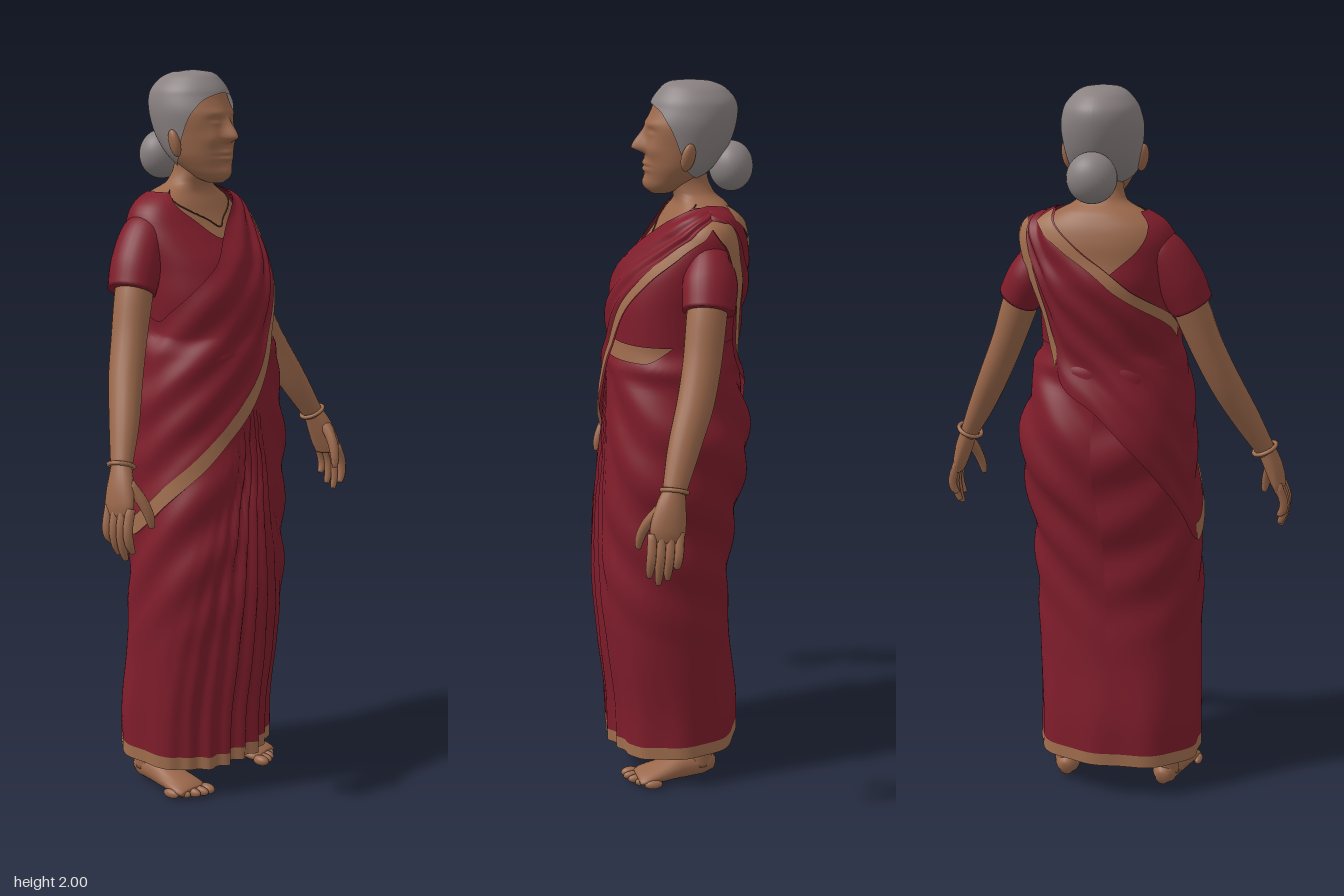
import * as THREE from 'three';

const V = (x, y, z) => new THREE.Vector3(x, y, z);
const rad = THREE.MathUtils.degToRad;
const gauss = (x, w) => Math.exp(-(x * x) / (w * w));
const step = (x, a, b) => THREE.MathUtils.smoothstep(x, a, b);

// Smooth, overshoot-free lookup in a table of rows [key, ...values]
function at(table, s) {
  const n = table.length;
  let i = 0;
  while (i < n - 2 && s > table[i + 1][0]) i++;
  const slope = (j, k) => (table[j + 1][k] - table[j][k]) / (table[j + 1][0] - table[j][0]);
  const tangent = (j, k) => {
    if (j === 0) return slope(0, k);
    if (j === n - 1) return slope(n - 2, k);
    const a = slope(j - 1, k), b = slope(j, k);
    return a * b <= 0 ? 0 : (2 * a * b) / (a + b);
  };
  const h = table[i + 1][0] - table[i][0];
  const u = THREE.MathUtils.clamp((s - table[i][0]) / h, 0, 1), u2 = u * u, u3 = u2 * u;
  return table[i].slice(1).map((v, m) => {
    const k = m + 1;
    return (2 * u3 - 3 * u2 + 1) * v + (u3 - 2 * u2 + u) * h * tangent(i, k)
      + (3 * u2 - 2 * u3) * table[i + 1][k] + (u3 - u2) * h * tangent(i + 1, k);
  });
}

// Surface grid from fn(u, v) with u, v in 0..1; optionally closed around u
function grid(nu, nv, fn, closed) {
  const pos = [], idx = [], cols = closed ? nu : nu + 1;
  for (let j = 0; j <= nv; j++)
    for (let i = 0; i < cols; i++) pos.push(...fn(i / nu, j / nv).toArray());
  for (let j = 0; j < nv; j++)
    for (let i = 0; i < nu; i++) {
      const a = j * cols + i, b = j * cols + ((i + 1) % cols);
      idx.push(a, b, a + cols, b, b + cols, a + cols);
    }
  const g = new THREE.BufferGeometry();
  g.setAttribute('position', new THREE.Float32BufferAttribute(pos, 3));
  g.setIndex(idx);
  g.computeVertexNormals();
  return g;
}

// Point on a stack of rounded sections [y, cx, cz, rx, rz], pushed out along its normal
function onSurface(table, t, y, off = 0, n = 2.3) {
  const p = (a, h) => {
    const [cx, cz, rx, rz] = at(table, h), s = Math.sin(a), c = Math.cos(a);
    const k = Math.pow(Math.abs(s) ** n + Math.abs(c) ** n, -1 / n);
    return V(cx + rx * s * k, h, cz + rz * c * k);
  };
  const o = p(t, y);
  if (!off) return o;
  const e = 0.003;
  const normal = p(t + e, y).sub(p(t - e, y)).cross(p(t, y + e).sub(p(t, y - e))).normalize();
  return o.addScaledVector(normal, off);
}

// Rounded limb through points [x, y, z, width radius, depth radius]
function limb(points, sides = 14, rows = 24) {
  const curve = new THREE.CatmullRomCurve3(points.map(p => V(p[0], p[1], p[2])));
  const radii = points.map((p, i) => [i / (points.length - 1), p[3], p[4] ?? p[3]]);
  return grid(sides, rows + 2, (u, v) => {
    const j = Math.round(v * (rows + 2)), s = THREE.MathUtils.clamp((j - 1) / rows, 0, 1);
    const c = curve.getPoint(s), T = curve.getTangent(s);
    if (j === 0 || j === rows + 2) return c;
    const U = V(1, 0, 0).addScaledVector(T, -T.x).normalize(), W = T.clone().cross(U);
    const [a, b] = at(radii, s), q = u * Math.PI * 2;
    return c.addScaledVector(U, a * Math.cos(q)).addScaledVector(W, b * Math.sin(q));
  }, true);
}

// Sections of the draped body, hem to neck
const BODY = [
  [0.08, -0.035, -0.005, 0.228, 0.18], [0.2, -0.036, -0.003, 0.226, 0.181],
  [0.4, -0.03, 0.017, 0.228, 0.18], [0.6, -0.025, 0.028, 0.232, 0.183],
  [0.8, -0.015, 0.015, 0.23, 0.19], [0.95, 0.005, -0.003, 0.234, 0.195],
  [1.05, 0.007, -0.01, 0.232, 0.194], [1.15, 0, -0.005, 0.217, 0.182],
  [1.25, -0.003, 0.003, 0.193, 0.167], [1.3, 0, 0, 0.177, 0.163],
  [1.4, -0.003, -0.01, 0.182, 0.168], [1.48, 0, -0.03, 0.187, 0.16],
  [1.55, 0, -0.052, 0.193, 0.13], [1.6, 0, -0.068, 0.188, 0.108],
  [1.64, 0, -0.074, 0.165, 0.09], [1.67, 0.005, -0.075, 0.12, 0.073],
  [1.7, 0.008, -0.058, 0.066, 0.056], [1.74, 0.008, -0.042, 0.054, 0.054],
  [1.8, 0.008, -0.035, 0.054, 0.054]];
// Sections of the head, chin to crown
const HEAD = [
  [1.7, 0.008, 0.03, 0.018, 0.026], [1.715, 0.008, 0.02, 0.044, 0.052],
  [1.745, 0.008, -0.002, 0.067, 0.076], [1.78, 0.008, -0.018, 0.084, 0.093],
  [1.83, 0.008, -0.034, 0.094, 0.108], [1.88, 0.008, -0.042, 0.099, 0.115],
  [1.93, 0.008, -0.052, 0.09, 0.105], [1.965, 0.008, -0.05, 0.066, 0.08],
  [1.985, 0.008, -0.042, 0.036, 0.046], [1.991, 0.008, -0.038, 0.001, 0.001]];
const HAIR = HEAD.map(([y, cx, cz, rx, rz]) =>
  [y + 0.009, cx, cz - 0.006, rx > 0.01 ? rx + 0.012 : rx, rz > 0.01 ? rz + 0.011 : rz]);

// Edges of the shoulder drape, by angle (0 front, 90 left side), and other cloth edges
const DRAPE_LOW = [[-270, 1.615], [-255, 1.585], [-240, 1.515], [-228, 1.42], [-216, 1.28], [-205, 1.2], [-180, 1.14],
  [-150, 1.02], [-130, 0.9], [-108, 0.75], [-90, 0.79], [-75, 0.84], [-50, 0.93], [-25, 1.04],
  [0, 1.15], [18, 1.265], [37, 1.4], [55, 1.5], [75, 1.58], [90, 1.615]];
const DRAPE_HIGH = [[-270, 1.672], [-240, 1.668], [-215, 1.632], [-180, 1.55], [-150, 1.475], [-120, 1.41],
  [-90, 1.34], [-75, 1.37], [-35, 1.47], [0, 1.57], [30, 1.63], [60, 1.662], [90, 1.672]];
// Heights of the drape's lower border
const BORDER = [[-270, 0.018], [-256, 0.04], [-242, 0.08], [-216, 0.07], [-190, 0.052],
  [50, 0.052], [72, 0.032], [90, 0.018]];
const NECKLINE = [[-180, 1.48], [-150, 1.57], [-115, 1.67], [-65, 1.67], [-30, 1.61], [-8, 1.55],
  [30, 1.61], [65, 1.67], [115, 1.67], [150, 1.58], [180, 1.48]];
const HAIRLINE = [[-180, 1.73], [-120, 1.75], [-95, 1.77], [-75, 1.82], [-55, 1.89], [-30, 1.928], [0, 1.94],
  [30, 1.928], [55, 1.89], [75, 1.82], [95, 1.77], [120, 1.75], [180, 1.73]];

// Cloth patch between two edge functions of the angle in degrees
function patch(table, from, to, low, high, off, nu = 120, nv = 30) {
  return grid(nu, nv, (u, v) => {
    const d = from + (to - from) * u, y = THREE.MathUtils.lerp(low(d), high(d), v);
    return onSurface(table, rad(d), y, off(d, y, v));
  });
}

// Front pleats fan out from the waist; hanging folds sweep around the hips
function skirtFold(d, y) {
  const t = rad(d), spread = 0.2 + 0.8 * step(1.2 - y, 0, 0.9);
  const pleats = 0.011 * Math.sin((t + 0.15) * 24 / spread) * gauss(t + 0.15, 0.62 * spread) * step(1.2 - y, 0, 0.2);
  const swag = 0.007 * Math.sin(34 * (y + 0.17 * Math.abs(t)) + 1.5 * Math.sin(2 * t))
    * step(y, 0.35, 0.8) * step(1.28 - y, 0, 0.08) * step(Math.abs(t), 0.15, 0.6);
  return 0.006 + pleats + swag + 0.004 * Math.sin(9 * t) * step(0.5 - y, 0, 0.4) + 0.01 * gauss(y - 1.245, 0.022);
}

export function createModel() {
  const model = new THREE.Group();
  const mat = (name, color, side = THREE.FrontSide) =>
    Object.assign(new THREE.MeshStandardMaterial({ color, side }), { name });
  const skin = mat('skin', 0x9b684b);
  const red = mat('red cloth', 0x7f1d2b, THREE.DoubleSide);
  const trim = mat('tan border', 0xa16e4e, THREE.DoubleSide);
  const grey = mat('grey hair', 0x8a8181, THREE.DoubleSide);
  const dark = mat('dark bead', 0x5a3526);
  const add = (name, geometry, material) => {
    const m = new THREE.Mesh(geometry, material);
    m.name = name;
    model.add(m);
    return m;
  };
  const ball = (name, material, x, y, z, sx, sy, sz) => {
    const m = add(name, new THREE.SphereGeometry(1, 28, 20), material);
    m.position.set(x, y, z);
    m.scale.set(sx, sy, sz);
    return m;
  };

  // Torso, neck and clothes; the skirt rises towards the back, leaving the waist bare at the left front
  add('torso', grid(64, 60, (u, v) => onSurface(BODY, u * Math.PI * 2, 1.24 + 0.56 * v), true), skin);
  add('blouse', patch(BODY, -180, 180, () => 1.31, d => at(NECKLINE, d)[0], () => 0.008), red);
  const hem = d => 0.082 + 0.009 * (1 - Math.cos(rad(d))) + 0.008 * gauss(d - 80, 40);
  const hemTop = d => hem(d) + 0.036;
  add('skirt', patch(BODY, -180, 180, hemTop, d => 1.264 + 0.065 * step(Math.abs(d), 55, 95), skirtFold, 200, 80), red);
  add('hemBorder', patch(BODY, -180, 180, hem, hemTop, skirtFold, 200, 4), trim);

  // Drape over the left shoulder with its borders
  const low = d => at(DRAPE_LOW, d)[0], high = d => at(DRAPE_HIGH, d)[0];
  const lowTop = d => low(d) + at(BORDER, d)[0];
  const lift = (d, y) => 0.018 - 0.006 * step(y, 1.63, 1.67)
    + 0.022 * (gauss(d - 90, 30) + gauss(d + 270, 30)) * step(1.67 - y, 0, 0.07) * step(y, 1.35, 1.5);
  add('drape', patch(BODY, -270, 90, low, high,
    (d, y, v) => lift(d, y) + 0.0045 * Math.sin(v * 24 + 0.6 * Math.sin(rad(d) * 2)) * step(1.68 - y, 0, 0.06), 180, 48), red);
  const edge = (d, y) => lift(d, y) + 0.007;
  add('frontBorder', patch(BODY, -110, 90, low, lowTop, edge, 110, 4), trim);
  add('backUpperBorder', patch(BODY, -238, -105, d => high(d) - 0.035, high, edge, 80, 4), trim);
  add('backOuterBorder', patch(BODY, -270, -212, low, lowTop, edge, 50, 4), trim);

  // Thin necklace
  const chain = [];
  for (let d = -70; d <= 70; d += 10)
    chain.push(onSurface(BODY, rad(d), 1.58 + 0.1 * Math.abs(d / 70) ** 0.8, 0.002));
  add('necklace', new THREE.TubeGeometry(new THREE.CatmullRomCurve3(chain), 50, 0.0018, 6), dark);

  // Head with modelled face
  add('head', grid(96, 80, (u, v) => {
    const t = u * Math.PI * 2, y = 1.7 + 0.291 * v, p = onSurface(HEAD, t, y, 0, 1.95);
    if (Math.cos(t) > 0) {
      const x = p.x - 0.008, ax = Math.abs(x);
      const ridge = step(1.89 - y, 0, 0.07) * step(y, 1.802, 1.825);
      p.z += 0.038 * ridge * gauss(x, 0.011 + 0.007 * step(1.86 - y, 0, 0.035));
      p.z -= 0.007 * gauss(ax - 0.036, 0.02) * gauss(y - 1.866, 0.014);
      p.z += 0.005 * gauss(ax - 0.036, 0.014) * gauss(y - 1.862, 0.008);
      p.z += 0.004 * gauss(ax - 0.034, 0.025) * gauss(y - 1.888, 0.01);
      p.z += 0.007 * gauss(ax - 0.046, 0.02) * gauss(y - 1.82, 0.02);
      p.z += 0.007 * gauss(x, 0.03) * (gauss(y - 1.782, 0.007) + gauss(y - 1.766, 0.007));
      p.z -= 0.003 * gauss(x, 0.03) * gauss(y - 1.774, 0.003);
      p.z += 0.008 * gauss(x, 0.025) * gauss(y - 1.73, 0.016);
    }
    return p;
  }, true), skin);
  add('hair', grid(96, 44, (u, v) => {
    const d = -180 + 360 * u;
    return onSurface(HAIR, rad(d), THREE.MathUtils.lerp(at(HAIRLINE, d)[0], 2, 1 - (1 - v) ** 1.6), 0, 1.95);
  }), grey);
  ball('hairBun', grey, 0.012, 1.768, -0.16, 0.068, 0.068, 0.06);

  for (const s of [1, -1]) {
    const side = s > 0 ? 'left' : 'right';
    const flip = pts => pts.map(([x, ...r]) => [s * x, ...r]);

    // Ear
    ball(side + 'Ear', skin, 0.008 + s * 0.104, 1.808, -0.025, 0.014, 0.038, 0.02).rotation.set(-0.15, s * 0.4, -s * 0.15);

    // Sleeve (slimmer under the drape), arm and bangle
    const slim = s > 0 ? 0.014 : 0;
    add(side + 'Sleeve', limb(flip([[0.11, 1.59 - 2 * slim, -0.075, 0.04, 0.05],
      [0.16, 1.56 - slim, -0.075, 0.064 - slim, 0.07 - slim], [0.205, 1.49 - slim / 2, -0.068, 0.068 - slim / 3, 0.074],
      [0.24, 1.42, -0.058, 0.06, 0.07]]), 28), red);
    add(side + 'Arm', limb(flip([[0.205, 1.49, -0.068, 0.05], [0.238, 1.41, -0.053, 0.05, 0.054],
      [0.28, 1.3, -0.034, 0.045, 0.052], [0.325, 1.2, -0.008, 0.043, 0.05], [0.375, 1.1, 0.03, 0.038, 0.044],
      [0.435, 0.985, 0.07, 0.025, 0.031]]), 20, 30), skin);
    const bangle = add(side + 'Bangle', new THREE.TorusGeometry(0.034, 0.006, 8, 28), trim);
    bangle.position.set(s * 0.43, 0.995, 0.066);
    bangle.rotation.set(Math.PI / 2 - 0.2, s * 0.4, 0);

    // Hand with fingers and thumb
    add(side + 'Palm', limb(flip([[0.43, 1.0, 0.066, 0.024, 0.029], [0.45, 0.95, 0.08, 0.025, 0.042],
      [0.466, 0.9, 0.09, 0.021, 0.048], [0.472, 0.87, 0.094, 0.014, 0.042]]), 18, 14), skin);
    for (let i = 0; i < 4; i++) {
      const z = 0.058 + 0.024 * i, end = [0.8, 0.77, 0.758, 0.78][i];
      add(side + 'Finger', limb(flip([[0.468, 0.895, z, 0.013], [0.487, 0.84, z + 0.006, 0.013],
        [0.484, (end + 0.83) / 2, z + 0.009, 0.012], [0.473, end, z + 0.01, 0.008]]), 8, 10), skin);
    }
    add(side + 'Thumb', limb(flip([[0.447, 0.955, 0.105, 0.017], [0.433, 0.91, 0.14, 0.015],
      [0.423, 0.87, 0.156, 0.013], [0.418, 0.84, 0.16, 0.008]]), 8, 10), skin);

    // Lower leg, foot and toes
    const shift = s > 0 ? 0 : 0.07;
    const place = pts => flip(pts.map(([x, ...r]) => [x + shift, ...r]));
    add(side + 'Leg', limb(place([[0.105, 0.42, -0.04, 0.05], [0.11, 0.2, -0.055, 0.045],
      [0.112, 0.09, -0.06, 0.036, 0.04], [0.113, 0.04, -0.06, 0.036, 0.04]]), 16, 12), skin);
    add(side + 'Foot', limb(place([[0.107, 0.033, -0.105, 0.018, 0.02], [0.11, 0.042, -0.075, 0.035, 0.037],
      [0.117, 0.042, -0.02, 0.038, 0.039], [0.126, 0.032, 0.05, 0.048, 0.029],
      [0.132, 0.023, 0.105, 0.054, 0.019], [0.134, 0.018, 0.125, 0.047, 0.012]]), 18, 18), skin);
    for (let i = 0; i < 5; i++)
      ball(side + 'Toe', skin, s * (0.092 + shift + 0.0225 * i), 0.016, 0.139 - 0.0035 * i * i,
        i ? 0.012 : 0.016, i ? 0.013 : 0.015, 0.026);
  }
  return model;
}
